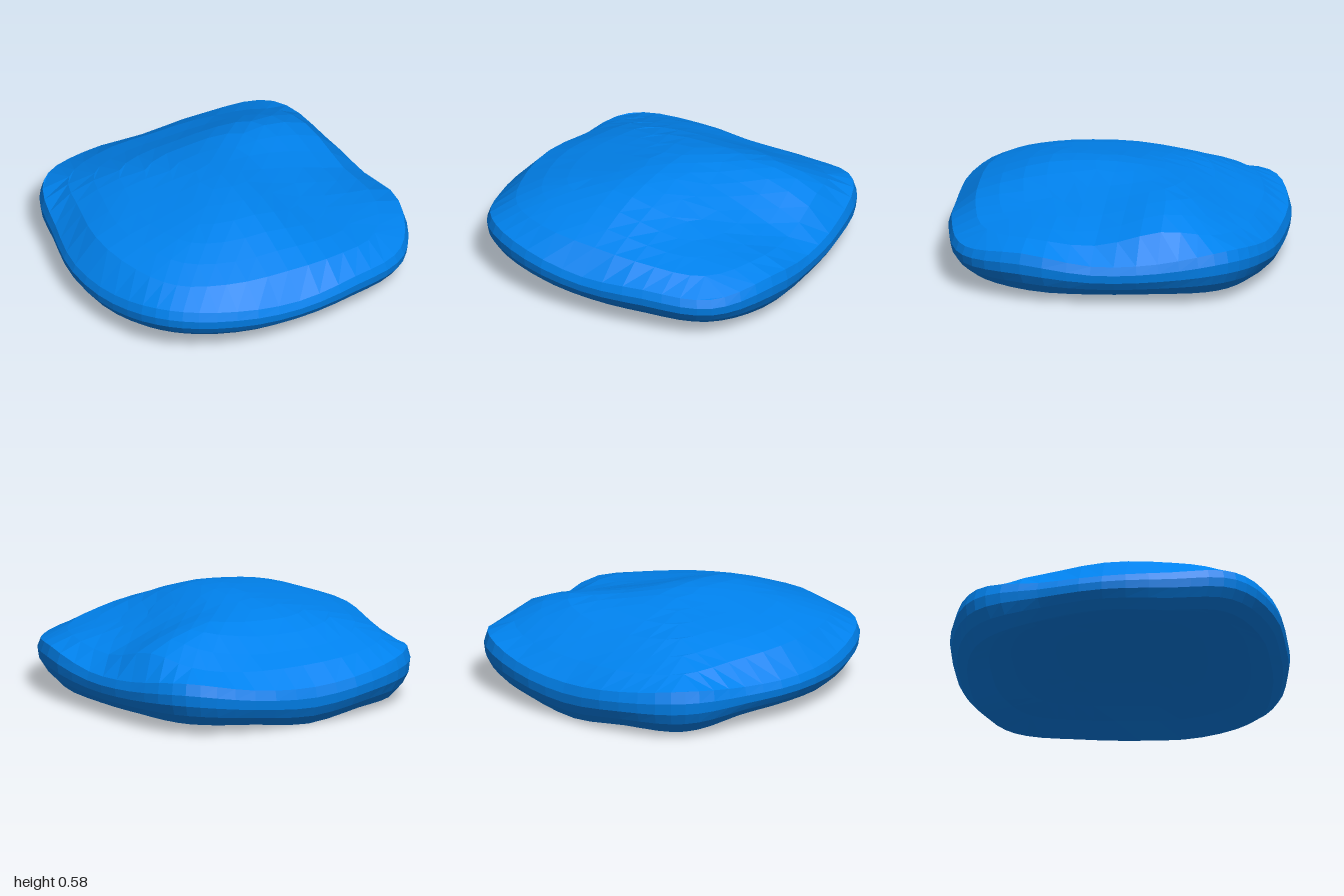
import * as THREE from 'three';

const SEG = 14;

// Outline radius, upper and lower edge height every 22.5 degrees, from +x towards +z
const RADII = [0.975, 1.065, 1.12, 1.02, 0.98, 1.035, 1.09, 1.025, 0.99, 0.99, 1.1, 1.04, 0.985, 1.04, 1.12, 1.01];
const TOP = [0.26, 0.32, 0.28, 0.30, 0.285, 0.33, 0.35, 0.29, 0.27, 0.28, 0.32, 0.28, 0.25, 0.28, 0.34, 0.28];
const BASE = [0.06, 0.065, 0.08, 0.1, 0.1, 0.12, 0.13, 0.085, 0.09, 0.08, 0.04, 0.045, 0.008, 0.05, 0.07, 0.07];

// Crown heights: rows run back to front, columns -x to +x, 0.4 apart
const CROWN = [
  [0.36, 0.38, 0.38, 0.38, 0.37],
  [0.43, 0.50, 0.53, 0.54, 0.48],
  [0.47, 0.53, 0.585, 0.49, 0.37],
  [0.46, 0.53, 0.56, 0.43, 0.38],
  [0.42, 0.46, 0.46, 0.41, 0.36],
];
const CEILING = 0.21;

// Smooth curve through evenly spaced values
function cubic(get, t) {
  const i = Math.floor(t), f = t - i;
  const [a, b, c, d] = [get(i - 1), get(i), get(i + 1), get(i + 2)];
  return b + 0.5 * f * (c - a + f * (2 * a - 5 * b + 4 * c - d + f * (3 * (b - c) + d - a)));
}

function around(list, angle) {
  const n = list.length;
  return cubic((i) => list[((i % n) + n) % n], (angle / (2 * Math.PI)) * n);
}

function crown(x, z) {
  const clamp = (i) => Math.min(4, Math.max(0, i));
  const at = (v) => clamp(v / 0.4 + 2);
  return cubic((r) => cubic((c) => CROWN[clamp(r)][clamp(c)], at(x)), at(z));
}

// Turns a subdivided box into the puffed, wavy cushion
function cushionGeometry() {
  const { lerp } = THREE.MathUtils;
  const box = new THREE.BoxGeometry(2, 2, 2, SEG, 4, SEG);
  const p = box.attributes.position;
  for (let i = 0; i < p.count; i++) {
    const u = p.getX(i), k = p.getY(i), v = p.getZ(i);
    const s = Math.max(Math.abs(u), Math.abs(v));
    const angle = Math.atan2(v, u);
    // The side wall is nearly upright above and tucks in below
    const reach = s * around(RADII, angle) * (1 - 0.1 * ((0.4 - k) / 1.4) ** 2);
    const x = reach * Math.cos(angle), z = reach * Math.sin(angle);
    let y = lerp(around(BASE, angle), around(TOP, angle), (k + 1) / 2);
    if (k > 0.99) y = lerp(crown(x, z), y, s ** 9);
    if (k < -0.99) y = lerp(CEILING, y, s ** 4);
    p.setXYZ(i, x, y, z);
  }
  const geometry = box.toNonIndexed();
  geometry.computeVertexNormals();
  return geometry;
}

export function createModel() {
  const group = new THREE.Group();
  group.name = 'cushion';
  const material = new THREE.MeshStandardMaterial({ color: 0x0082ee, flatShading: true });
  const body = new THREE.Mesh(cushionGeometry(), material);
  body.name = 'cushionBody';
  group.add(body);
  return group;
}
